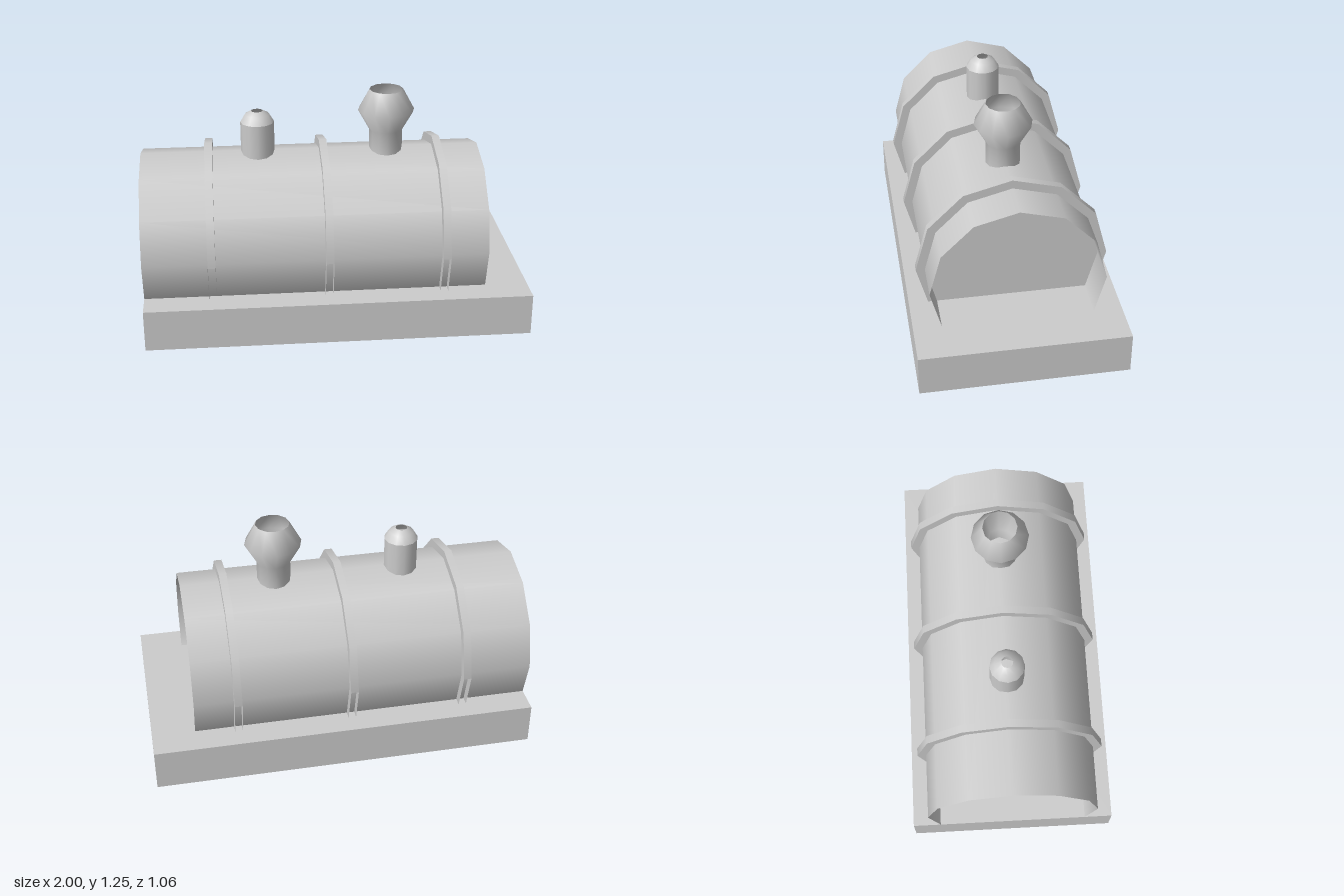
import * as THREE from 'three';

const material = new THREE.MeshStandardMaterial({ color: 0xcccccc, side: THREE.DoubleSide });
const AXIS_Y = 0.489;

export function createModel() {
  const model = new THREE.Group();
  model.name = 'boilerModel';

  const add = (parent, name, geometry, x = 0, y = 0, z = 0) => {
    const mesh = new THREE.Mesh(geometry, material);
    mesh.name = name;
    mesh.position.set(x, y, z);
    parent.add(mesh);
    return mesh;
  };

  // Open shell lying along x; the arc is centred on the top
  const shell = (radius, length, segments) => {
    const arc = segments * Math.PI / 6;
    return new THREE.CylinderGeometry(radius, radius, length, segments, 1, true,
      Math.PI / 2 - arc / 2, arc).rotateZ(Math.PI / 2);
  };
  const lathe = (points) =>
    new THREE.LatheGeometry(points.map(([r, y]) => new THREE.Vector2(r, y)), 12);

  // Base slab
  add(model, 'base', new THREE.BoxGeometry(2, 0.22, 1.064), 0, 0.17);

  // Boiler, open at both ends and sunk into the base
  add(model, 'boiler', shell(0.443, 1.777, 8), -0.1115, AXIS_Y);

  // Bands: upper rim plus full twelve-sided end discs
  for (const x of [-0.647, -0.047, 0.553]) {
    const band = new THREE.Group();
    band.name = 'band';
    band.position.set(x, AXIS_Y, 0);
    add(band, 'bandRim', shell(0.489, 0.04, 6));
    for (const side of [-1, 1]) {
      add(band, 'bandDisc',
        new THREE.CircleGeometry(0.489, 12).rotateY(side * Math.PI / 2), side * 0.02);
    }
    model.add(band);
  }

  // Steam dome with a small opening on top
  const dome = new THREE.Group();
  dome.name = 'steamDome';
  dome.position.x = -0.388;
  add(dome, 'domeWall', lathe([[0.088, 0.89], [0.088, 1.09]]));
  add(dome, 'domeCap', lathe([[0.088, 1.09], [0.064, 1.13], [0.03, 1.149]]));
  model.add(dome);

  // Flared chimney, open at the top
  add(model, 'chimney',
    lathe([[0.088, 0.89], [0.088, 1.03], [0.148, 1.137], [0.088, 1.248]]), 0.287);

  return model;
}
